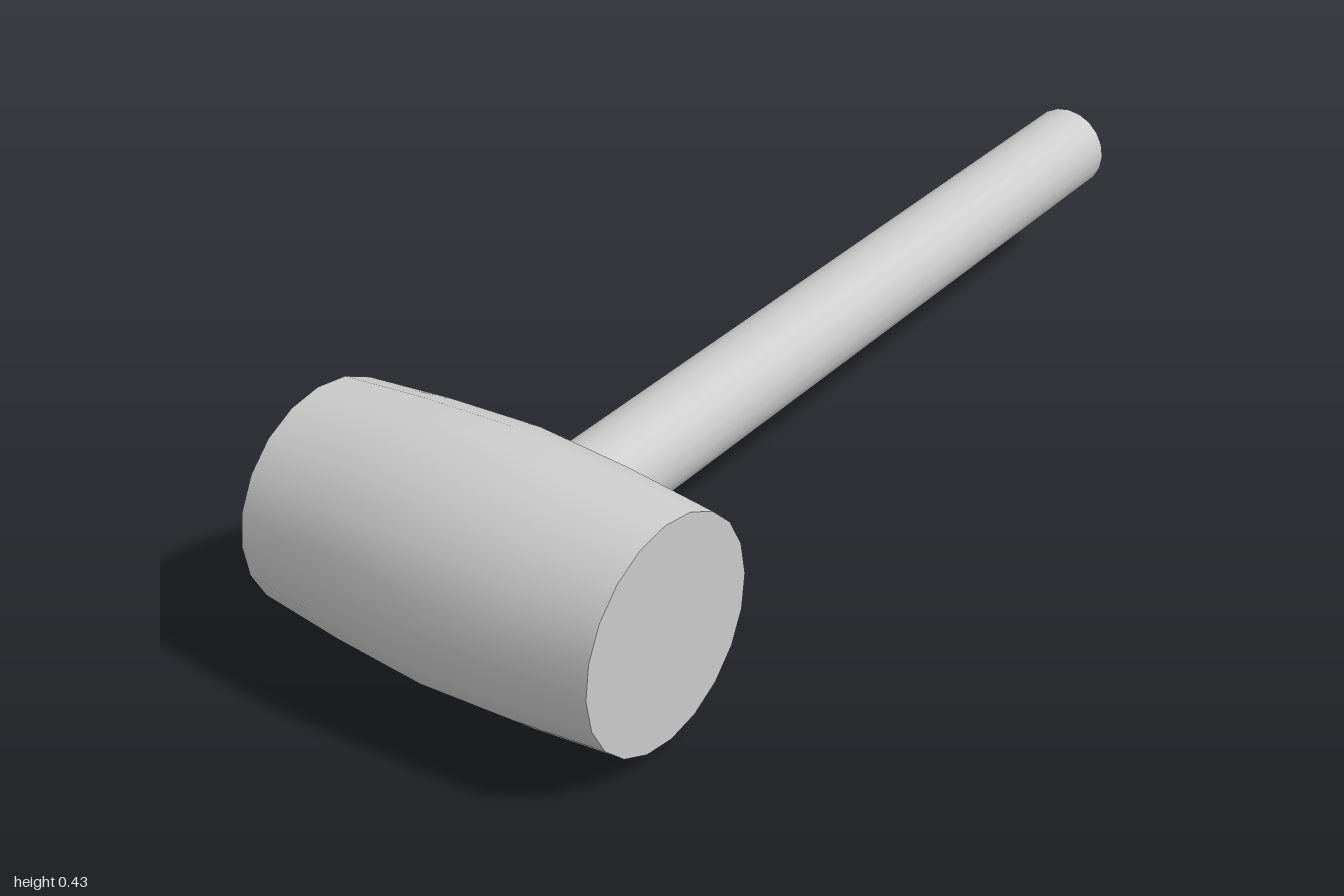
import * as THREE from 'three';
import { toCreasedNormals } from 'three/addons/utils/BufferGeometryUtils.js';

const SIDES = 20;
const AXIS_Y = 0.217;   // height of both the head and handle axes
const HEAD_Z = 0.784;   // head centre along the handle

export function createModel() {
  const model = new THREE.Group();
  const material = new THREE.MeshStandardMaterial({ color: 0xcccccc });

  // Barrel-shaped head, turned about its long axis, with flat striking faces
  const profile = [
    [0, -0.338], [0.192, -0.338], [0.207, -0.175], [0.216, 0],
    [0.207, 0.175], [0.192, 0.338], [0, 0.338],
  ].map(([r, h]) => new THREE.Vector2(r, h));
  const headGeometry = toCreasedNormals(new THREE.LatheGeometry(profile, SIDES), 0.7);
  const head = new THREE.Mesh(headGeometry, material);
  head.name = 'head';
  head.rotation.z = Math.PI / 2;
  head.position.set(0, AXIS_Y, HEAD_Z);
  model.add(head);

  // Straight round handle, its inner end buried in the head
  const back = -1, inner = 0.7;
  const handle = new THREE.Mesh(
    new THREE.CylinderGeometry(0.082, 0.082, inner - back, SIDES), material);
  handle.name = 'handle';
  handle.rotation.x = Math.PI / 2;
  handle.position.set(0, AXIS_Y, (back + inner) / 2);
  model.add(handle);

  return model;
}
